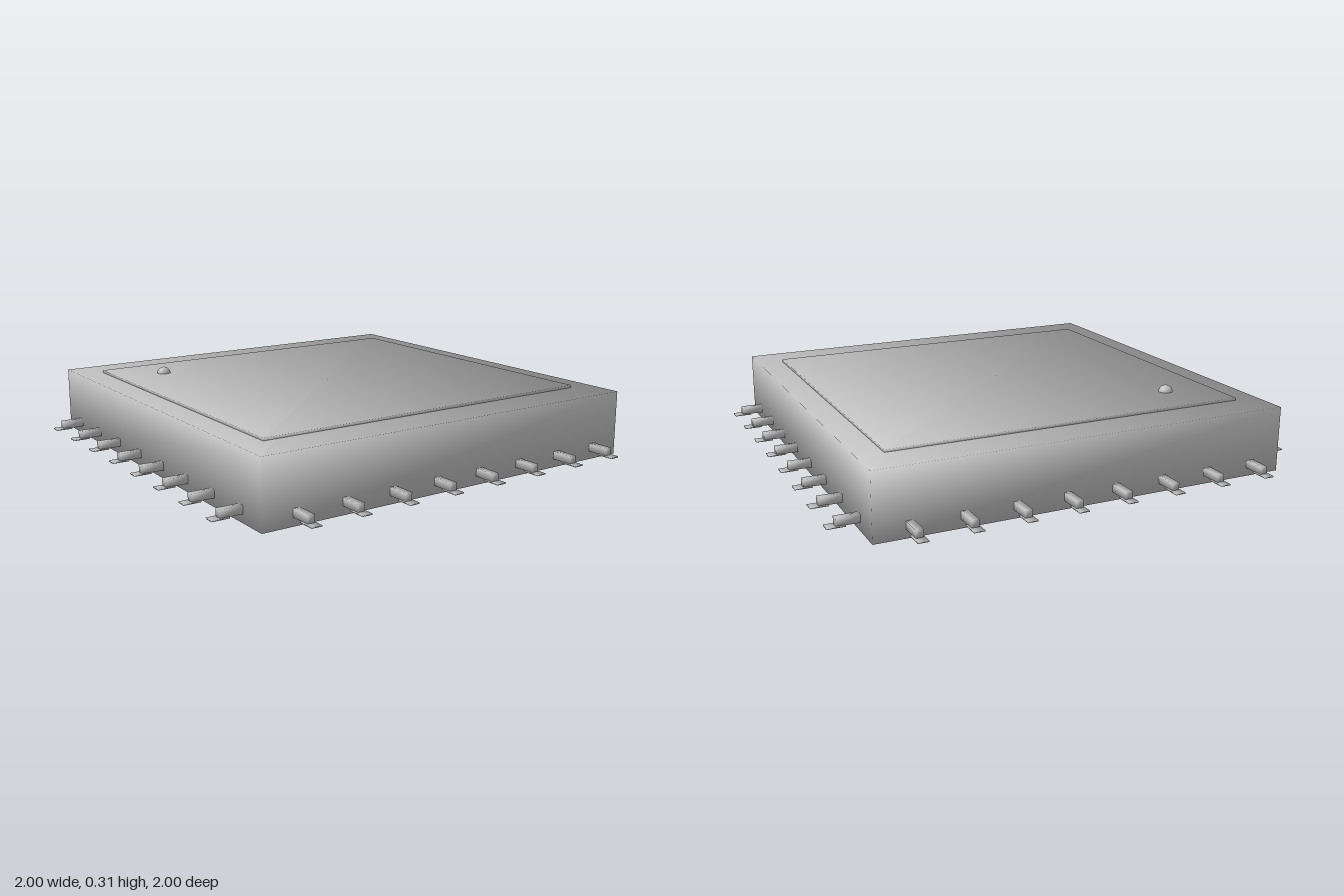
import * as THREE from 'three';

// Box whose corner normals point diagonally outwards, for soft shading
function softBox(w, h, d) {
  const g = new THREE.BoxGeometry(w, h, d);
  const p = g.attributes.position;
  const k = 1 / Math.sqrt(3);
  for (let i = 0; i < p.count; i++) {
    g.attributes.normal.setXYZ(i, Math.sign(p.getX(i)) * k, Math.sign(p.getY(i)) * k, Math.sign(p.getZ(i)) * k);
  }
  return g;
}

export function createModel() {
  const model = new THREE.Group();
  model.name = 'microchip';
  const grey = new THREE.MeshStandardMaterial({ color: 0xc0c0c0 });
  grey.name = 'grey';

  const add = (parent, name, geometry, x, y, z) => {
    const mesh = new THREE.Mesh(geometry, grey);
    mesh.name = name;
    mesh.position.set(x, y, z);
    parent.add(mesh);
    return mesh;
  };

  // Package body and the thin raised panel on top
  add(model, 'body', softBox(1.746, 0.272, 1.746), 0, 0.136, 0);
  add(model, 'topPanel', softBox(1.532, 0.014, 1.426), 0, 0.276, -0.003);

  // Orientation dot
  const dome = new THREE.SphereGeometry(0.03, 20, 10, 0, Math.PI * 2, 0, Math.PI / 2);
  add(model, 'orientationDot', dome, -0.56, 0.28, -0.51);

  // Eight pins per side: a narrow bar and a wider flat foot
  const bar = softBox(0.105, 0.032, 0.03);
  const foot = softBox(0.072, 0.005, 0.042);
  for (let side = 0; side < 4; side++) {
    const row = new THREE.Group();
    row.name = 'pinRow' + (side + 1);
    row.rotation.y = side * Math.PI / 2;
    for (let i = 0; i < 8; i++) {
      const pin = new THREE.Group();
      pin.name = 'pin' + (i + 1);
      pin.position.z = (i - 3.5) * 0.2095;
      add(pin, 'pinBar', bar, 0.9125, 0.051, 0);
      add(pin, 'pinFoot', foot, 0.964, 0.0345, 0);
      row.add(pin);
    }
    model.add(row);
  }
  return model;
}
